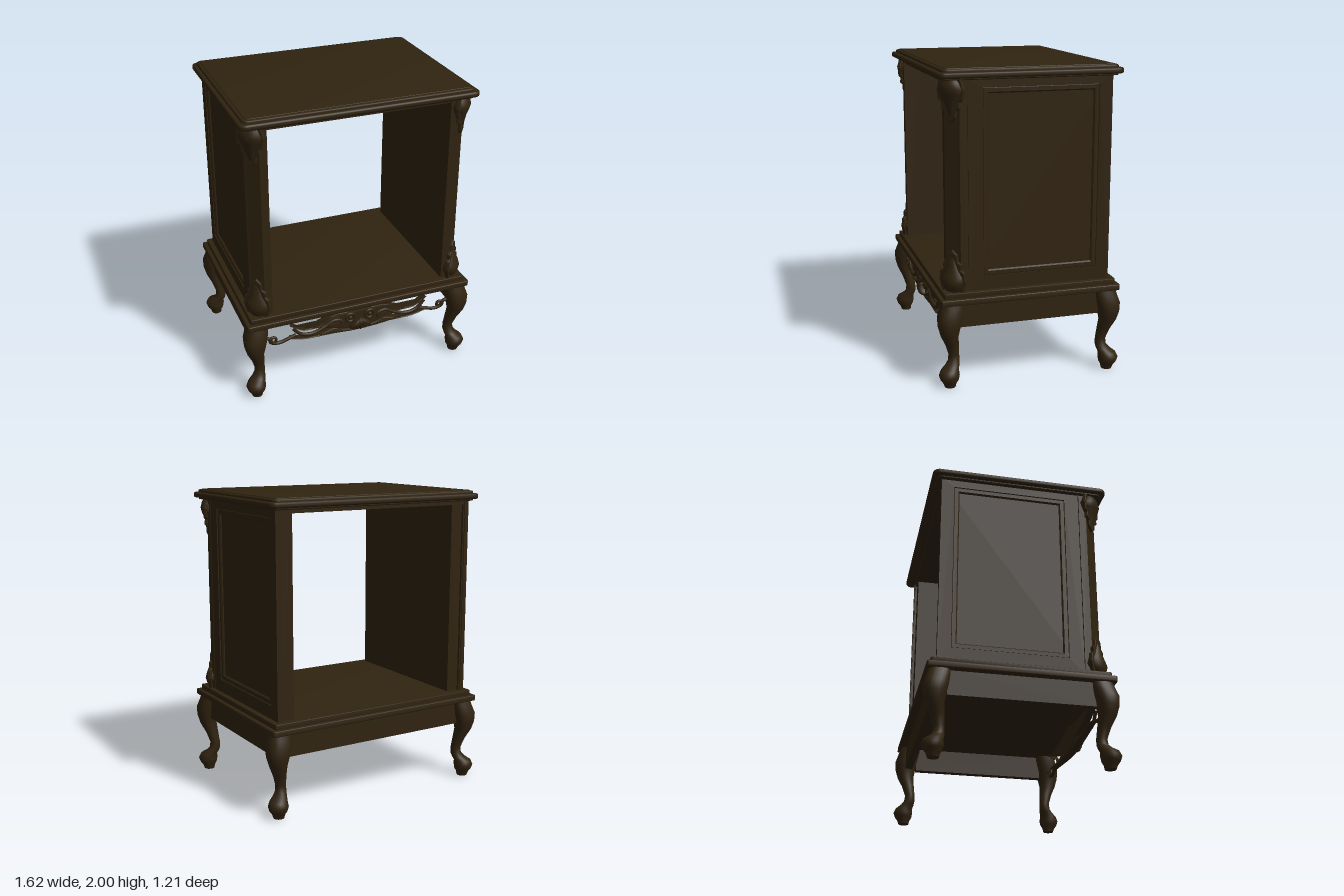
import * as THREE from 'three';
import { toCreasedNormals } from 'three/addons/utils/BufferGeometryUtils.js';

const wood = new THREE.MeshStandardMaterial({ color: 0x302310 });
wood.name = 'dark walnut';

// Copy of a geometry reflected in any axes, with the winding kept outward
function mirrored(geo, sx, sy, sz) {
  const g = (geo.index ? geo.toNonIndexed() : geo.clone()).scale(sx, sy, sz);
  if (sx * sy * sz < 0) {
    for (const attr of Object.values(g.attributes)) {
      const n = attr.itemSize, a = attr.array;
      for (let i = 0; i < a.length; i += 3 * n)
        for (let k = 0; k < n; k++) [a[i + n + k], a[i + 2 * n + k]] = [a[i + 2 * n + k], a[i + n + k]];
    }
  }
  return g;
}

// Skin over horizontal rings; each row is [y, centreX, centreZ, radiusX, radiusZ, squareness]
function loft(rows, sides = 24) {
  const first = rows[0], last = rows[rows.length - 1];
  const rings = [[...first.slice(0, 3), 0, 0, 2], ...rows, [...last.slice(0, 3), 0, 0, 2]];
  const pos = [], idx = [];
  for (const [y, cx, cz, rx, rz, n] of rings) {
    for (let j = 0; j < sides; j++) {
      const a = (j / sides) * Math.PI * 2, c = Math.cos(a), s = Math.sin(a);
      const k = (Math.abs(c) ** n + Math.abs(s) ** n) ** (-1 / n);
      pos.push(cx + rx * k * c, y, cz + rz * k * s);
    }
  }
  for (let i = 0; i < rings.length - 1; i++) {
    for (let j = 0; j < sides; j++) {
      const a = i * sides + j, b = i * sides + (j + 1) % sides;
      if (i > 0) idx.push(a, a + sides, b);
      if (i < rings.length - 2) idx.push(b, a + sides, b + sides);
    }
  }
  const g = new THREE.BufferGeometry();
  g.setAttribute('position', new THREE.Float32BufferAttribute(pos, 3));
  g.setIndex(idx);
  return toCreasedNormals(g, 0.9);
}

// Horizontal board with rounded corners and a bevelled rim
function slab(hx, hz, r, y0, y1, bevel) {
  const x = hx - bevel, z = hz - bevel, s = new THREE.Shape();
  s.absarc(x - r, z - r, r, 0, Math.PI / 2);
  s.absarc(r - x, z - r, r, Math.PI / 2, Math.PI);
  s.absarc(r - x, r - z, r, Math.PI, Math.PI * 1.5);
  s.absarc(x - r, r - z, r, Math.PI * 1.5, Math.PI * 2);
  const g = new THREE.ExtrudeGeometry(s, {
    depth: y1 - y0 - 2 * bevel, bevelThickness: bevel, bevelSize: bevel, bevelSegments: 3, curveSegments: 5,
  });
  return toCreasedNormals(g.rotateX(-Math.PI / 2).translate(0, y0 + bevel, 0), 0.6);
}

const polygon = (pts) => new THREE.Shape(pts.map(([x, y]) => new THREE.Vector2(x, y)));
const rect = (x0, y0, x1, y1) => [[x0, y0], [x1, y0], [x1, y1], [x0, y1]];
const box = (x0, x1, y0, y1, z0, z1) => new THREE.BoxGeometry(x1 - x0, y1 - y0, z1 - z0)
  .translate((x0 + x1) / 2, (y0 + y1) / 2, (z0 + z1) / 2);

export function createModel() {
  const model = new THREE.Group();
  const add = (name, geo) => {
    const m = new THREE.Mesh(geo, wood);
    m.name = name;
    model.add(m);
  };
  const addPair = (name, geo) => {
    add(name + 'Left', geo);
    add(name + 'Right', mirrored(geo, -1, 1, 1));
  };

  // Top: moulded rim, raised field and the rail under it
  add('topRail', box(-0.72, 0.72, 1.905, 1.94, -0.52, 0.52));
  add('topCove', slab(0.755, 0.56, 0.03, 1.93, 1.95, 0.006));
  add('topRim', slab(0.783, 0.588, 0.035, 1.942, 1.978, 0.012));
  add('topField', slab(0.757, 0.562, 0.03, 1.965, 1.996, 0.01));
  add('topPanel', slab(0.735, 0.54, 0.02, 1.985, 2.0, 0.003));

  // Stepped plinth that forms the cabinet floor
  add('plinthLower', slab(0.793, 0.59, 0.01, 0.55, 0.588, 0.005));
  add('plinthUpper', slab(0.765, 0.565, 0.01, 0.58, 0.622, 0.004));

  // Side walls: inner lining, framed outer face, sunk panel with sloping moulding
  addPair('sideLining', box(0.605, 0.695, 0.615, 1.91, -0.505, 0.42));
  addPair('sideFill', box(0.69, 0.709, 0.615, 1.935, -0.52, 0.42));
  const frame = polygon(rect(-0.525, 0.615, 0.4, 1.94));
  frame.holes.push(polygon(rect(-0.44, 0.71, 0.305, 1.88)));
  addPair('sideFrame', new THREE.ExtrudeGeometry(frame, { depth: 0.03, bevelEnabled: false })
    .rotateY(-Math.PI / 2).translate(0.73, 0, 0));
  const trim = polygon(rect(-0.436, 0.714, 0.301, 1.876));
  trim.holes.push(polygon(rect(-0.412, 0.738, 0.277, 1.852)));
  addPair('panelMoulding', new THREE.ExtrudeGeometry(trim, {
    depth: 0.004, bevelThickness: 0.008, bevelSize: 0.008, bevelSegments: 1,
  }).rotateY(-Math.PI / 2).translate(0.717, 0, 0));

  // Chamfered front corner posts, drawn in plan (x, -z)
  const post = polygon([[0.605, -0.4], [0.605, -0.527], [0.655, -0.527], [0.662, -0.52],
    [0.723, -0.459], [0.732, -0.452], [0.732, -0.404], [0.724, -0.4]]);
  addPair('frontPost', new THREE.ExtrudeGeometry(post, { depth: 1.325, bevelEnabled: false })
    .rotateX(-Math.PI / 2).translate(0, 0.615, 0));

  // Carved corner ornaments: swelling bud over a scalloped leaf, at top and bottom
  const bud = loft([
    [0, 0, 0, 0.05, 0.04, 2], [0.03, 0, 0, 0.07, 0.055, 2], [0.065, 0, 0, 0.087, 0.062, 2],
    [0.1, 0, 0, 0.078, 0.052, 2], [0.14, 0, 0, 0.052, 0.038, 2], [0.2, 0, 0, 0.03, 0.026, 2],
    [0.25, 0, 0, 0.01, 0.014, 2],
  ]);
  const half = [[0.07, 0], [0.09, 0.07], [0.082, 0.125], [0.058, 0.14], [0.062, 0.175], [0.036, 0.19], [0.03, 0.235]];
  const leaf = new THREE.ExtrudeGeometry(
    polygon([...half, [0, 0.26], ...half.map(([x, y]) => [-x, y]).reverse()]),
    { depth: 0.014, bevelThickness: 0.006, bevelSize: 0.004, bevelSegments: 2 });
  for (const [name, geo] of [['Bud', bud], ['Leaf', leaf]]) {
    const g = geo.clone().rotateY(Math.PI / 4).translate(0.691, 0, 0.489);
    addPair('lower' + name, g.clone().translate(0, 0.62, 0));
    addPair('upper' + name, mirrored(g, 1, -1, 1).translate(0, 1.94, 0));
  }

  // Cabriole legs: [height, centre, half width, squareness] along the corner diagonal
  const leg = loft([
    [0, 0.735, 0.035, 2], [0.025, 0.737, 0.042, 2], [0.05, 0.739, 0.058, 2], [0.08, 0.741, 0.066, 2],
    [0.11, 0.736, 0.058, 2], [0.135, 0.716, 0.045, 2], [0.16, 0.703, 0.037, 2], [0.2, 0.701, 0.034, 2],
    [0.27, 0.715, 0.042, 2.1], [0.34, 0.734, 0.056, 2.2], [0.4, 0.737, 0.07, 2.4],
    [0.46, 0.732, 0.078, 2.6], [0.52, 0.717, 0.073, 2.8], [0.56, 0.71, 0.068, 3],
  ].map(([y, c, h, n]) => [y, c, c - 0.205, h, h, n]));
  addPair('frontLeg', leg);
  addPair('backLeg', mirrored(leg, 1, 1, -1));

  // Plain aprons on the sides and back
  addPair('sideApron', box(0.695, 0.745, 0.392, 0.56, -0.46, 0.46));
  add('backApron', box(-0.68, 0.68, 0.392, 0.56, -0.54, -0.49));

  // Carved front apron hanging between the front legs
  const upper = [[0.5, 0.5], [0.46, 0.475], [0.39, 0.438], [0.29, 0.46], [0.21, 0.495], [0.16, 0.512], [0.1, 0.51], [0.05, 0.525]];
  const lower = [[0.48, 0.4], [0.39, 0.37], [0.28, 0.375], [0.18, 0.4], [0.12, 0.378], [0.06, 0.372]];
  const flip = (pts) => pts.map(([x, y]) => [-x, y]).reverse();
  const v2 = ([x, y]) => new THREE.Vector2(x, y);
  const top = [...upper, [0, 0.532], ...flip(upper)];
  const bottom = [...flip(lower).map(([x, y]) => [x, y]), [0, 0.357], ...lower];
  const carving = new THREE.Shape();
  carving.moveTo(...top[0]);
  carving.splineThru(top.slice(1).map(v2));
  carving.splineThru(bottom.map(v2));
  carving.closePath();
  add('frontCarving', toCreasedNormals(new THREE.ExtrudeGeometry(carving, {
    depth: 0.03, bevelThickness: 0.012, bevelSize: 0.006, bevelSegments: 3, curveSegments: 5,
  }).translate(0, 0, 0.5), 0.7));

  // Scrolls, vines and the centre shell on the carving
  const tube = (pts, r, z) => new THREE.TubeGeometry(
    new THREE.CatmullRomCurve3(pts.map(([x, y]) => new THREE.Vector3(x, y, z))), 28, r, 8);
  addPair('endScroll', new THREE.TorusGeometry(0.022, 0.01, 8, 20).translate(0.61, 0.405, 0.525));
  addPair('endVine', tube([[0.665, 0.43], [0.64, 0.425], [0.61, 0.385], [0.56, 0.378], [0.5, 0.395], [0.45, 0.41]], 0.012, 0.525));
  addPair('vine', tube([[0.48, 0.48], [0.42, 0.42], [0.34, 0.405], [0.25, 0.435], [0.18, 0.47], [0.13, 0.45], [0.14, 0.42]], 0.012, 0.54));
  addPair('rosette', new THREE.TorusGeometry(0.03, 0.01, 8, 24).translate(0.07, 0.468, 0.545));
  addPair('rosetteBead', new THREE.SphereGeometry(0.015, 12, 8).translate(0.07, 0.468, 0.545));
  for (let i = -2; i <= 2; i++) {
    add('shellRib', new THREE.SphereGeometry(1, 12, 8).scale(0.014, 0.045, 0.03)
      .rotateZ(i * 0.45).translate(i * 0.02, 0.41 + Math.abs(i) * 0.004, 0.552));
  }

  return model;
}
